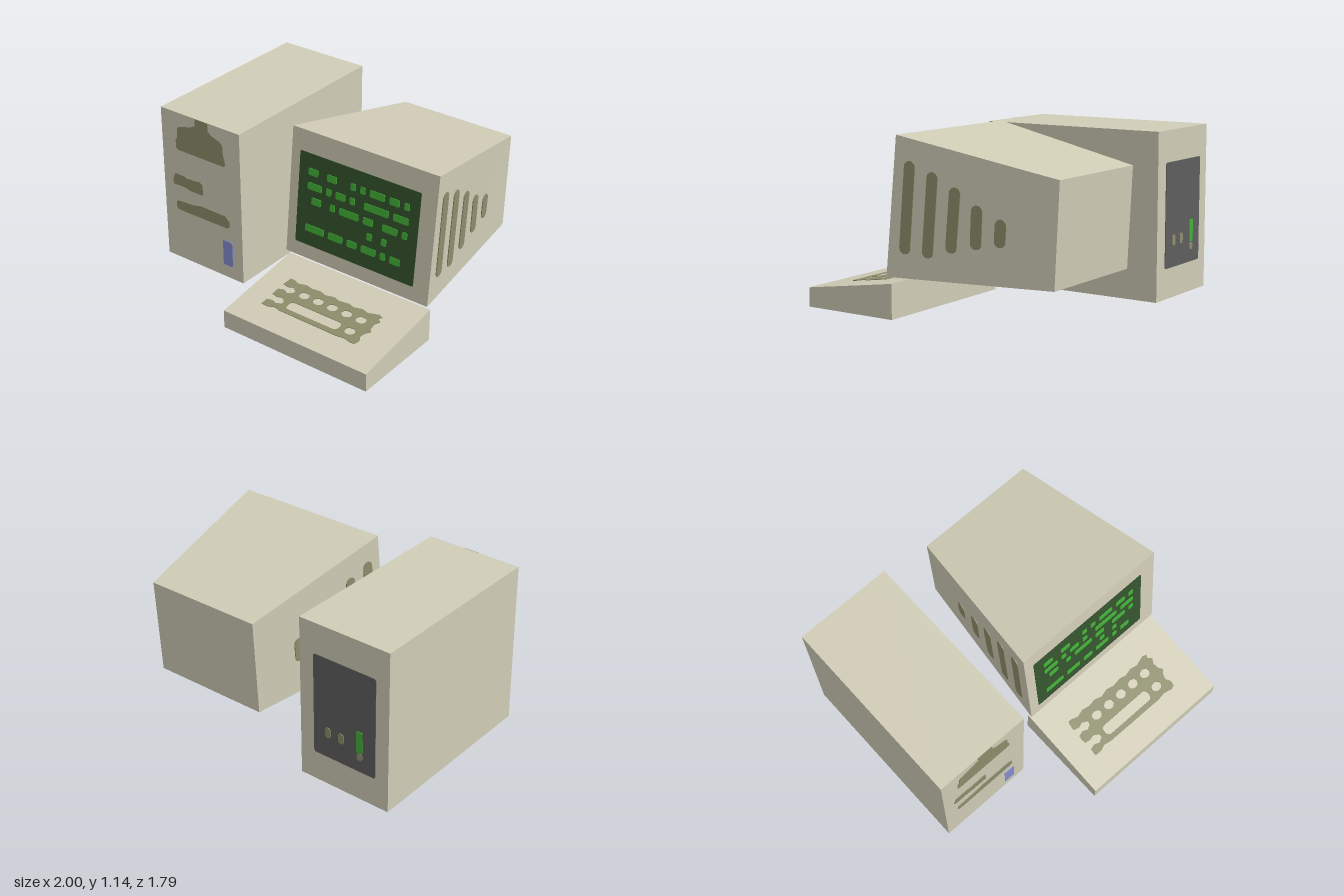
import * as THREE from 'three';

const mat = (name, color) => {
  const m = new THREE.MeshStandardMaterial({ color });
  m.name = name;
  return m;
};

// Box whose corners are moved by rule(sx, sy, sz) -> [x, y, z], each s being -1 or 1
function shapedBox(rule) {
  const g = new THREE.BoxGeometry(2, 2, 2).toNonIndexed();
  const p = g.attributes.position;
  for (let i = 0; i < p.count; i++) p.setXYZ(i, ...rule(p.getX(i), p.getY(i), p.getZ(i)));
  g.computeVertexNormals();
  return g;
}

function roundRect(x0, y0, x1, y1, r) {
  const s = new THREE.Shape();
  s.absarc(x1 - r, y1 - r, r, 0, Math.PI / 2, false);
  s.absarc(x0 + r, y1 - r, r, Math.PI / 2, Math.PI, false);
  s.absarc(x0 + r, y0 + r, r, Math.PI, Math.PI * 1.5, false);
  s.absarc(x1 - r, y0 + r, r, Math.PI * 1.5, Math.PI * 2, false);
  return s;
}

// Slot with round ends between two points
function capsule(ax, ay, bx, by, r) {
  const a = Math.atan2(by - ay, bx - ax);
  const s = new THREE.Shape();
  s.absarc(bx, by, r, a - Math.PI / 2, a + Math.PI / 2, false);
  s.absarc(ax, ay, r, a + Math.PI / 2, a + Math.PI * 1.5, false);
  return s;
}

const outline = (pts) => new THREE.Shape(pts.map(([x, y]) => new THREE.Vector2(x, y)));

const plateGeometry = (shape, depth = 0.004) =>
  new THREE.ExtrudeGeometry(shape, { depth, bevelEnabled: false, curveSegments: 6 });

export function createModel() {
  const casing = mat('beige casing', 0xd0ccb6);
  const olive = mat('olive detail', 0x8d8d6c);
  const glass = mat('dark green screen', 0x34542f);
  const green = mat('bright green', 0x42b237);
  const blue = mat('blue button', 0x858cd0);
  const grey = mat('dark grey panel', 0x5e5e5e);

  const model = new THREE.Group();
  model.name = 'desktopComputer';
  const add = (parent, name, geometry, material, z = 0) => {
    const m = new THREE.Mesh(geometry, material);
    m.name = name;
    m.position.z = z;
    parent.add(m);
    return m;
  };
  const group = (parent, name, x = 0, y = 0, z = 0) => {
    const g = new THREE.Group();
    g.name = name;
    g.position.set(x, y, z);
    parent.add(g);
    return g;
  };

  // Tower case
  const tower = group(model, 'tower');
  add(tower, 'towerCase', shapedBox((x, y, z) =>
    [-0.6675 + x * 0.3325, 0.5525 + y * 0.5525, -0.22 + z * 0.655]), casing);

  // Tower front: vent, drive slots and button
  const front = group(tower, 'towerFront', 0, 0, 0.435);
  add(front, 'topVent', plateGeometry(outline([
    [-0.705, 1.105], [-0.705, 1.055], [-0.74, 1.035], [-0.85, 1.005], [-0.862, 0.985], [-0.865, 0.93],
    [-0.88, 0.9], [-0.878, 0.845], [-0.86, 0.834], [-0.47, 0.834], [-0.457, 0.845], [-0.46, 0.88],
    [-0.472, 0.92], [-0.475, 0.985], [-0.495, 1.005], [-0.57, 1.03], [-0.595, 1.055], [-0.595, 1.105],
  ])), olive);
  add(front, 'upperSlot', plateGeometry(outline([
    [-0.92, 0.575], [-0.92, 0.6], [-0.9, 0.65], [-0.82, 0.65], [-0.79, 0.64], [-0.68, 0.65], [-0.66, 0.635],
    [-0.66, 0.56], [-0.67, 0.556], [-0.77, 0.556], [-0.82, 0.568], [-0.91, 0.565],
  ])), olive);
  add(front, 'lowerSlot', plateGeometry(outline([
    [-0.9, 0.4], [-0.9, 0.435], [-0.885, 0.447], [-0.75, 0.455], [-0.68, 0.47], [-0.47, 0.468],
    [-0.438, 0.44], [-0.437, 0.395], [-0.46, 0.38], [-0.885, 0.378],
  ])), olive);
  add(front, 'powerButton', plateGeometry(roundRect(-0.5, 0.093, -0.42, 0.28, 0.012)), blue);

  // Tower back: connector panel (local x runs the other way)
  const back = group(tower, 'towerBack', 0, 0, -0.875);
  back.rotation.y = Math.PI;
  add(back, 'connectorPanel', plateGeometry(roundRect(0.44, 0.202, 0.905, 0.897, 0.015)), grey);
  add(back, 'greenPort', plateGeometry(roundRect(0.765, 0.338, 0.812, 0.488, 0.01)), green, 0.004);
  for (const [x, y, h] of [[0.55, 0.38, 0.016], [0.65, 0.38, 0.016], [0.79, 0.308, 0.004]])
    add(back, 'roundPort', plateGeometry(capsule(x, y - h, x, y + h, 0.021)), olive, 0.004);

  // Monitor case, tapering to the back
  const cx = 0.4475;
  const monitor = group(model, 'monitor');
  add(monitor, 'monitorCase', shapedBox((x, y, z) => z > 0
    ? [cx + x * 0.5525, y > 0 ? 1.14 : 0.265, y > 0 ? 0.175 : 0.262]
    : [cx - 0.01 + x * 0.4175, y > 0 ? 0.93 : 0.28, y > 0 ? -0.893 : -0.86]), casing);

  // Screen with rows of bars, leaning back with the monitor front
  const screen = group(monitor, 'screen', 0, 0.265, 0.262);
  screen.rotation.x = -Math.atan2(0.087, 0.875);
  add(screen, 'screenGlass', plateGeometry(roundRect(-0.035, 0.098, 0.885, 0.734, 0.01)), glass);
  const rows = [
    [[0, 2], [4, 2], [9, 1], [11, 1], [13, 3], [17, 2], [20, 1]],
    [[0, 3], [4, 1], [6, 2], [9, 1], [12, 5], [18, 3]],
    [[1, 2], [5, 1], [7, 4], [12, 2], [16, 3], [20, 1]],
    [[13, 1], [16, 1]],
    [[0, 4], [5, 3], [9, 2], [12, 3], [16, 1], [18, 2]],
  ];
  rows.forEach((row, r) => row.forEach(([start, length]) => {
    const x = 0.04 + start * 0.0367, y = 0.613 - r * 0.098;
    add(screen, 'screenBar', plateGeometry(
      roundRect(x, y - 0.024, x + length * 0.0367 + 0.002, y + 0.024, 0.009)), green, 0.004);
  }));

  // Side vents, laid onto the tapered sides: [top z, top y, bottom z, bottom y]
  const vents = [
    [0.083, 0.95, 0.127, 0.455], [-0.07, 0.892, -0.03, 0.442], [-0.22, 0.81, -0.19, 0.485],
    [-0.365, 0.712, -0.355, 0.52], [-0.52, 0.64, -0.513, 0.545],
  ];
  for (const s of [1, -1]) {
    const taper = s > 0 ? 0.145 : 0.125;
    for (const [z1, y1, z2, y2] of vents) {
      const g = plateGeometry(capsule(-s * z1, y1, -s * z2, y2, 0.037), 0.006);
      const p = g.attributes.position;
      for (let i = 0; i < p.count; i++) {
        const y = p.getY(i), z = -s * p.getX(i);
        const depth = 0.262 - 0.0994 * (y - 0.265) - z;
        p.setXYZ(i, cx + s * (0.5525 - taper * depth / 1.115 + p.getZ(i)), y, z);
      }
      g.computeVertexNormals();
      add(monitor, s > 0 ? 'leftVent' : 'rightVent', g, olive);
    }
  }

  // Wedge keyboard
  const keyboard = group(model, 'keyboard');
  add(keyboard, 'keyboardCase', shapedBox((x, y, z) =>
    [cx + x * 0.5525, y < 0 ? 0 : z > 0 ? 0.125 : 0.225, z > 0 ? 0.895 : 0.225]), casing);

  // Key field on the slope, with openings; points are [x, z] seen from above
  const slope = group(keyboard, 'keySlope', 0, 0.125, 0.895);
  slope.rotation.x = -Math.PI / 2 + Math.atan2(0.1, 0.67);
  const up = (z) => (0.895 - z) * 1.011;
  const field = outline([
    [0.07, 0.435], [0.1, 0.435], [0.14, 0.45], [0.2, 0.435], [0.25, 0.445], [0.31, 0.437], [0.36, 0.452],
    [0.42, 0.437], [0.47, 0.45], [0.54, 0.44], [0.58, 0.452], [0.64, 0.438], [0.69, 0.45], [0.76, 0.427],
    [0.79, 0.437], [0.78, 0.46], [0.805, 0.48], [0.785, 0.515], [0.79, 0.555], [0.81, 0.582], [0.785, 0.61],
    [0.775, 0.645], [0.795, 0.68], [0.785, 0.715], [0.76, 0.722], [0.7, 0.71], [0.64, 0.718], [0.2, 0.715],
    [0.15, 0.705], [0.11, 0.722], [0.06, 0.72], [0.06, 0.67], [0.1, 0.66], [0.136, 0.674], [0.172, 0.655],
    [0.172, 0.63], [0.136, 0.61], [0.1, 0.62], [0.06, 0.612], [0.06, 0.555], [0.1, 0.542], [0.136, 0.558],
    [0.172, 0.54], [0.172, 0.515], [0.136, 0.497], [0.1, 0.51], [0.06, 0.5],
  ].map(([x, z]) => [x, up(z)]));
  const hole = (x, z) => field.holes.push(new THREE.Path().absellipse(x, up(z), 0.037, 0.03, 0, Math.PI * 2));
  for (let i = 1; i < 6; i++) hole(0.138 + i * 0.111, 0.525);
  hole(0.693, 0.642);
  field.holes.push(roundRect(0.212, up(0.68), 0.617, up(0.608), 0.03));
  add(slope, 'keyField', plateGeometry(field), olive);

  return model;
}
